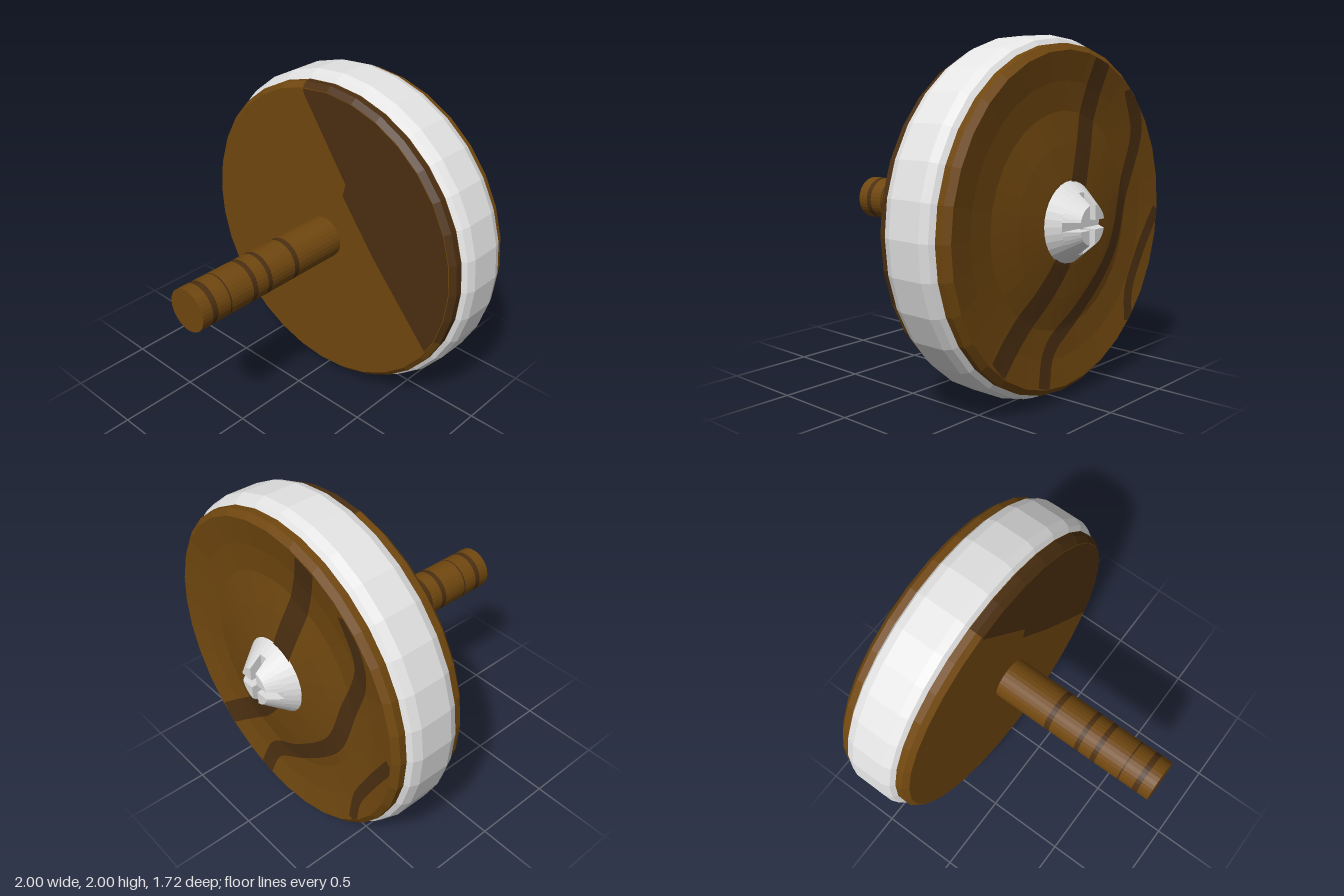
import * as THREE from 'three';

const material = (name, color, extra = {}) =>
  Object.assign(new THREE.MeshStandardMaterial({ color, flatShading: true, ...extra }), { name });

const SIDES = 32;
const STEP = (Math.PI * 2) / SIDES;

// Back face as [radius, z] from the centre to the rim
const BACK = [[0, -0.715], [0.24, -0.712], [0.42, -0.692], [0.6, -0.665], [0.76, -0.675], [0.92, -0.7]];

function backZ(r) {
  for (let i = 1; i < BACK.length; i++) {
    const [r0, z0] = BACK[i - 1], [r1, z1] = BACK[i];
    if (r <= r1) return z0 + ((z1 - z0) * (r - r0)) / (r1 - r0);
  }
  return -0.7;
}

// Turned part around the z axis; profile is [radius, z], from back to front
function turned(profile, first = 0, count = SIDES) {
  const pts = profile.map(([r, z]) => new THREE.Vector2(r, z));
  return new THREE.LatheGeometry(pts, count, first * STEP, count * STEP).rotateX(Math.PI / 2);
}

// Grain stripe draped over the back face
function grainStripe(path, width) {
  const curve = new THREE.CatmullRomCurve3(path.map(([x, y]) => new THREE.Vector3(x, y, 0)));
  const N = 40, M = 4, pos = [], index = [];
  for (let i = 0; i <= N; i++) {
    const p = curve.getPoint(i / N), t = curve.getTangent(i / N);
    for (let j = 0; j <= M; j++) {
      const o = (j / M - 0.5) * width;
      let x = p.x - t.y * o, y = p.y + t.x * o;
      const r = Math.hypot(x, y), k = Math.min(1, 0.914 / r);
      x *= k; y *= k;
      pos.push(x, y, backZ(r * k) - 0.005);
      if (i < N && j < M) {
        const a = i * (M + 1) + j, b = a + M + 1;
        index.push(a, a + 1, b, b, a + 1, b + 1);
      }
    }
  }
  const g = new THREE.BufferGeometry();
  g.setAttribute('position', new THREE.Float32BufferAttribute(pos, 3));
  g.setIndex(index);
  g.computeVertexNormals();
  return g;
}

// One quarter of the slotted screw top, lofted between two levels
function screwQuarter(r0, z0, r1, z1, w) {
  const n = 8, pos = [], index = [], loop = n + 2;
  for (const [r, z] of [[r0, z0], [r1, z1]]) {
    pos.push(w, w, z);
    const a = Math.asin(w / r);
    for (let i = 0; i <= n; i++) {
      const t = a + ((Math.PI / 2 - 2 * a) * i) / n;
      pos.push(Math.cos(t) * r, Math.sin(t) * r, z);
    }
  }
  for (let i = 0; i < loop; i++) {
    const j = (i + 1) % loop;
    index.push(i, i + loop, j, j, i + loop, j + loop);
    if (i > 0 && i < loop - 1) index.push(loop, loop + i + 1, loop + i);
  }
  const g = new THREE.BufferGeometry();
  g.setAttribute('position', new THREE.Float32BufferAttribute(pos, 3));
  g.setIndex(index);
  g.computeVertexNormals();
  return g;
}

export function createModel() {
  const wood = material('wood', 0x70470f);
  const woodSmooth = wood;
  const grain = material('darkGrain', 0x4b2f11, { side: THREE.DoubleSide });
  const white = material('whiteTyre', 0xe4e4e4);
  const steel = material('screwMetal', 0xdedede);

  const model = new THREE.Group();
  model.name = 'wheelOnAxle';
  const body = new THREE.Group();
  body.name = 'wheelAssembly';
  body.position.y = 1;
  model.add(body);
  const add = (name, geometry, mat, parent = body) => {
    const m = new THREE.Mesh(geometry, mat);
    m.name = name;
    parent.add(m);
    return m;
  };

  // Wooden disc: back half, front rim in two tones, front face
  add('backDisc', turned([...BACK, [0.955, -0.67], [0.955, -0.29]]), wood);
  const rim = [[0.955, -0.29], [0.955, -0.25], [0.925, -0.22]];
  add('darkFrontRim', turned(rim, 6, 11), grain);
  add('frontRim', turned(rim, 17, SIDES - 11), wood);
  add('frontFace', turned([[0.925, -0.22], [0, -0.22]]), wood);

  // Dark grain patch on the front face
  const patch = new THREE.Shape();
  patch.moveTo(-0.18, 0.9);
  [[-0.17, 0.87], [0.16, 0.41], [0.14, 0.33], [0.38, 0.02], [0.8, -0.45]].forEach(([x, y]) => patch.lineTo(x, y));
  for (let i = 0; i <= 10; i++) {
    const t = Math.PI / 2 + (i - 10) * STEP;
    patch.lineTo(0.922 * Math.cos(t), 0.922 * Math.sin(t));
  }
  add('frontGrainPatch', new THREE.ShapeGeometry(patch).translate(0, 0, -0.217), grain);

  // Grain stripes on the back face
  [
    [[[-0.31, 0.9], [-0.18, 0.51], [-0.07, 0.2], [0.03, -0.15], [0.2, -0.38], [0.58, -0.7]], 0.14],
    [[[-0.58, 0.71], [-0.68, 0.45], [-0.57, 0.1], [-0.45, -0.22], [-0.12, -0.53], [0.12, -0.7], [0.2, -0.89]], 0.1],
    [[[-0.91, -0.02], [-0.74, -0.3], [-0.64, -0.5], [-0.62, -0.67]], 0.07],
  ].forEach(([path, width]) => add('backGrainStripe', grainStripe(path, width), grain));

  // Tyre
  add('tyre', turned([
    [0.95, -0.632], [0.982, -0.61], [1, -0.56], [1, -0.36], [0.982, -0.312], [0.95, -0.29],
  ]), white);

  // Axle in alternating plain and dark bands
  const cuts = [-0.22, 0.13, 0.165, 0.345, 0.375, 0.457, 0.49, 0.65, 0.66, 0.752, 0.788, 0.86];
  for (let i = 1; i < cuts.length; i++) {
    const z0 = cuts[i - 1], z1 = cuts[i];
    const g = new THREE.CylinderGeometry(0.13, 0.13, z1 - z0, SIDES, 1, true);
    g.rotateX(Math.PI / 2).translate(0, 0, (z0 + z1) / 2);
    add(i % 2 ? 'axleSection' : 'axleGrainBand', g, i % 2 ? woodSmooth : grain);
  }
  add('axleEnd', new THREE.CircleGeometry(0.13, SIDES).translate(0, 0, 0.86), wood);

  // Screw with crossed slots
  const screw = new THREE.Group();
  screw.name = 'screw';
  body.add(screw);
  add('screwBase', turned([[0, -0.785], [0.17, -0.785], [0.23, -0.708]]), steel, screw);
  for (let q = 0; q < 4; q++) {
    const g = screwQuarter(0.17, -0.785, 0.11, -0.86, 0.025);
    add('screwQuarter', g, steel, screw).rotation.z = (q * Math.PI) / 2;
  }
  return model;
}
